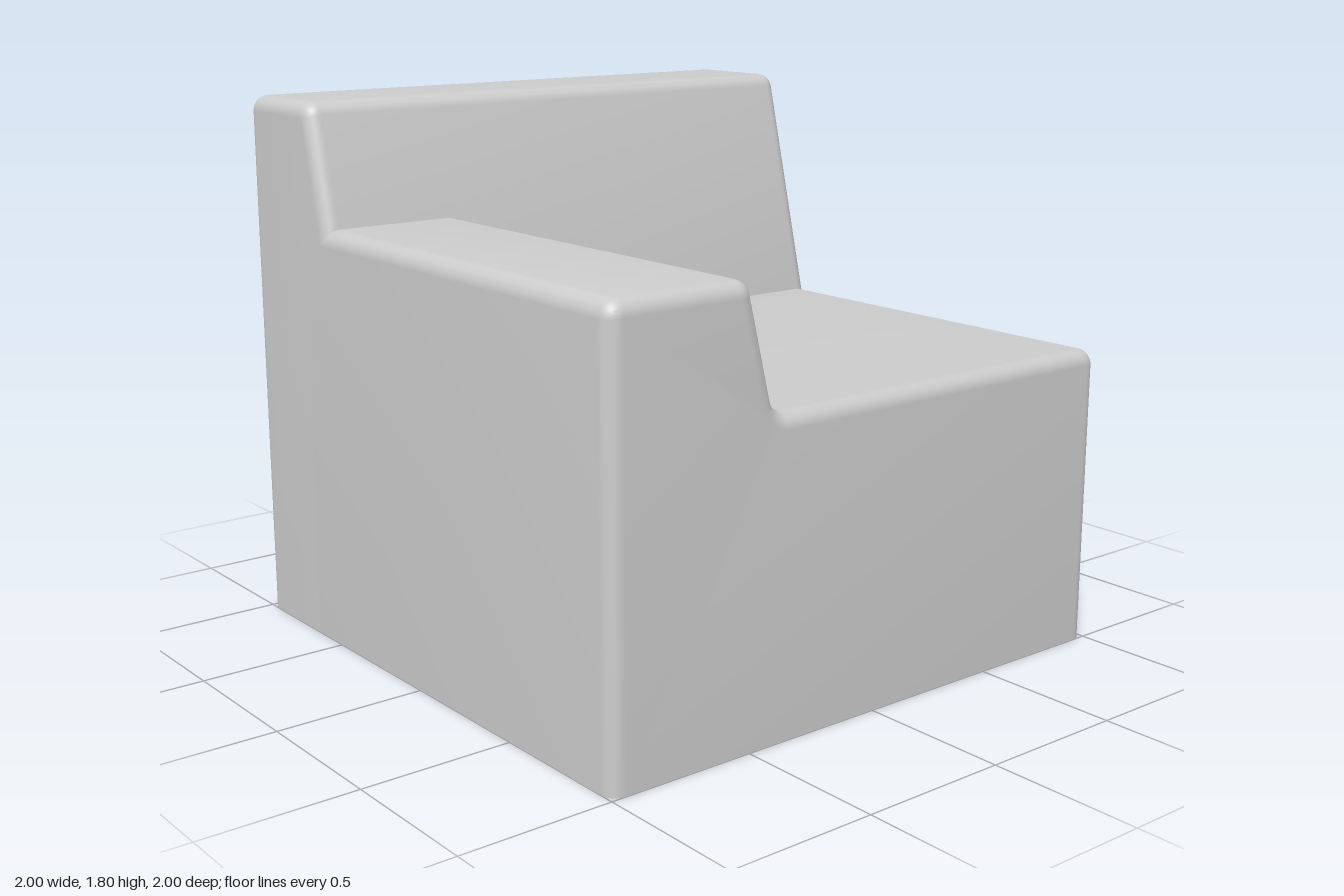
import * as THREE from 'three';
import { toCreasedNormals } from 'three/addons/utils/BufferGeometryUtils.js';

const BEVEL = 0.05, RADIUS = 0.055, STEPS = 8;

// Closed counter-clockwise outline; corners listed as [x, y, radius]
function roundedOutline(corners) {
  const points = [];
  corners.forEach(([x, y, r = 0], i) => {
    const p = new THREE.Vector2(x, y);
    if (!r) { points.push(p); return; }
    const n = corners.length;
    const [ax, ay] = corners[(i + n - 1) % n], [bx, by] = corners[(i + 1) % n];
    const heading = Math.atan2(y - ay, x - ax);
    let turn = Math.atan2(by - y, bx - x) - heading;
    turn = Math.atan2(Math.sin(turn), Math.cos(turn));
    const side = Math.sign(turn), d = r * Math.tan(Math.abs(turn) / 2);
    const cx = x - Math.cos(heading) * d - Math.sin(heading) * r * side;
    const cy = y - Math.sin(heading) * d + Math.cos(heading) * r * side;
    for (let k = 0; k <= STEPS; k++) {
      const a = heading + turn * k / STEPS;
      points.push(new THREE.Vector2(cx + side * r * Math.sin(a), cy - side * r * Math.cos(a)));
    }
  });
  return new THREE.Shape(points);
}

// Soft-edged extrusion from z0 to z1, cut off flat at the floor
function softBlock(corners, z0, z1) {
  const geo = new THREE.ExtrudeGeometry(roundedOutline(corners), {
    depth: z1 - z0 - 2 * BEVEL, bevelThickness: BEVEL, bevelSize: BEVEL,
    bevelOffset: -BEVEL, bevelSegments: STEPS,
  });
  geo.translate(0, 0, z0 + BEVEL);
  const pos = geo.attributes.position;
  for (let i = 0; i < pos.count; i++) pos.setY(i, Math.max(0, pos.getY(i)));
  return toCreasedNormals(geo, 0.6);
}

export function createModel() {
  const group = new THREE.Group();
  group.name = 'cornerArmchair';
  const material = new THREE.MeshStandardMaterial({ color: 0xcccccc });
  const add = (name, geo) => {
    const mesh = new THREE.Mesh(geo, material);
    mesh.name = name;
    group.add(mesh);
  };

  // Seat and single armrest share one profile, running front to back
  add('seatAndArmrest', softBlock([
    [-1, -0.1], [1, -0.1], [1, 1, RADIUS], [-0.4, 1, RADIUS],
    [-0.5, 1.4, RADIUS], [-1, 1.4, RADIUS],
  ], -0.7, 1));

  // Backrest profile (z, y) with a sloping front, running across the width
  const back = softBlock([
    [-1, -0.1], [-0.35, -0.1], [-0.35, 0.8], [-0.6, 1.8, RADIUS], [-1, 1.8, RADIUS],
  ], -1, 1);
  back.rotateY(-Math.PI / 2);
  add('backrest', back);

  return group;
}
